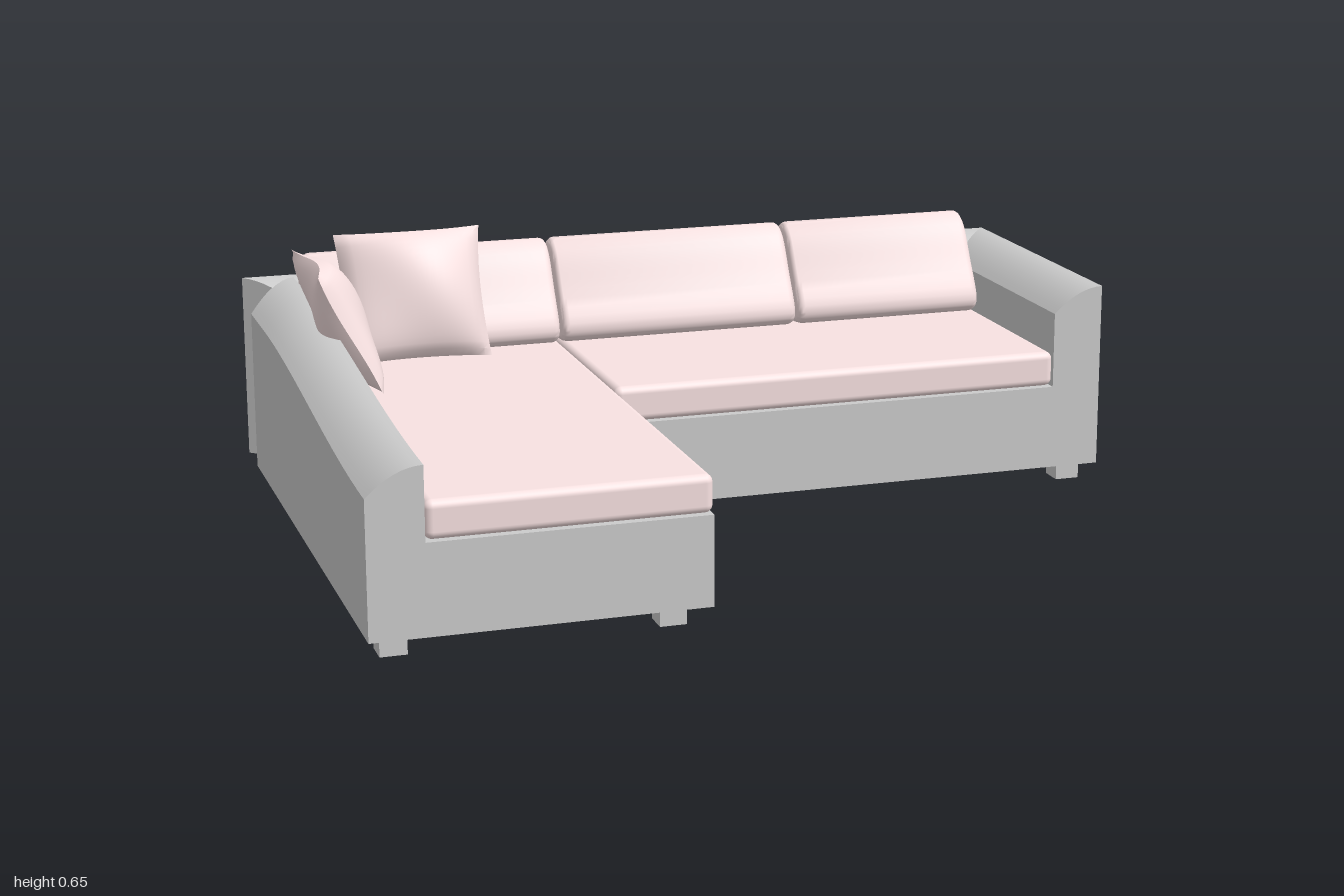
import * as THREE from 'three';
import { toCreasedNormals, mergeVertices } from 'three/addons/utils/BufferGeometryUtils.js';
import { RoundedBoxGeometry } from 'three/addons/geometries/RoundedBoxGeometry.js';

const FLOOR = 0.047; // underside of the frame
const grey = new THREE.MeshStandardMaterial({ color: 0xcccccc });
const pink = new THREE.MeshStandardMaterial({ color: 0xf8e2e2 });

function add(group, name, geometry, material, x = 0, y = 0, z = 0) {
  const mesh = new THREE.Mesh(geometry, material);
  mesh.name = name;
  mesh.position.set(x, y, z);
  group.add(mesh);
  return mesh;
}

// Closed solid through a row of convex cross-sections, capped at both ends
function loft(sections) {
  const tris = [];
  const n = sections[0].length;
  for (let i = 0; i + 1 < sections.length; i++) {
    for (let j = 0; j < n; j++) {
      const k = (j + 1) % n;
      const [a, b, c, d] = [sections[i][j], sections[i + 1][j], sections[i + 1][k], sections[i][k]];
      tris.push([a, b, c], [a, c, d]);
    }
  }
  const last = sections[sections.length - 1];
  for (let j = 1; j + 1 < n; j++) {
    tris.push([sections[0][0], sections[0][j], sections[0][j + 1]]);
    tris.push([last[0], last[j + 1], last[j]]);
  }
  // Turn the faces outward if the sections ran the other way
  const cross = new THREE.Vector3();
  let volume = 0;
  for (const [a, b, c] of tris) volume += a.dot(cross.crossVectors(b, c));
  if (volume < 0) tris.forEach((t) => t.reverse());
  const geometry = new THREE.BufferGeometry().setFromPoints(tris.flat());
  return toCreasedNormals(geometry, 0.5);
}

// Wall section: the top curves down from its high edge to its low edge
function wallSection(hi, lo, height) {
  const points = [];
  for (let i = 0; i <= 8; i++) {
    const t = i / 8;
    points.push(new THREE.Vector3(
      THREE.MathUtils.lerp(hi[0], lo[0], t),
      height - 0.062 * t * t,
      THREE.MathUtils.lerp(hi[1], lo[1], t)));
  }
  points.push(new THREE.Vector3(lo[0], FLOOR, lo[1]), new THREE.Vector3(hi[0], FLOOR, hi[1]));
  return points;
}

// Leaning back cushion with a soft profile, extruded sideways
function backCushion(width) {
  const outline = [[0.458, 0.375], [0.475, 0.345], [0.6, 0.345], [0.665, 0.44], [0.683, 0.5],
    [0.665, 0.55], [0.61, 0.583], [0.565, 0.565], [0.508, 0.475]];
  const curve = new THREE.CatmullRomCurve3(outline.map(([a, b]) => new THREE.Vector3(a, b, 0)), true);
  const shape = new THREE.Shape(curve.getPoints(48).slice(0, -1).map((p) => new THREE.Vector2(p.x, p.y)));
  const bevel = 0.018;
  const geometry = new THREE.ExtrudeGeometry(shape, {
    depth: width - 2 * bevel, bevelSize: bevel, bevelThickness: bevel, bevelOffset: -bevel, bevelSegments: 4,
  });
  geometry.translate(0, 0, bevel).rotateY(Math.PI / 2);
  return toCreasedNormals(geometry, 0.7);
}

// Throw pillow: plump in the middle, thin at the seam, pointed at the corners
function pillow(width, height, thickness, bend) {
  const geometry = new THREE.BoxGeometry(2, 2, 2, 20, 20, 1);
  const p = geometry.attributes.position;
  for (let i = 0; i < p.count; i++) {
    const u = p.getX(i), v = p.getY(i), side = p.getZ(i);
    const puff = Math.pow(Math.max(0, (1 - u * u) * (1 - v * v)), 0.5);
    p.setXYZ(i,
      width / 2 * u * (1 - 0.06 * (1 - v * v)),
      height / 2 * v * (1 - 0.05 * (1 - u * u)),
      side * thickness / 2 * puff + bend * u * u + 0.008 * Math.sin(3 * u + 2 * v));
  }
  geometry.deleteAttribute('uv');
  geometry.deleteAttribute('normal');
  return toCreasedNormals(mergeVertices(geometry, 1e-4), 0.9);
}

export function createModel() {
  const sofa = new THREE.Group();
  sofa.name = 'cornerSofa';

  // Back wall and right arm, mitred together
  add(sofa, 'backWall', loft([
    wallSection([-1, -0.75], [-0.875, -0.625], 0.5),
    wallSection([1, -0.75], [0.875, -0.625], 0.5),
  ]), grey);
  add(sofa, 'shortArm', loft([
    wallSection([1, -0.75], [0.875, -0.625], 0.5),
    wallSection([1, 0], [0.875, 0], 0.5),
  ]), grey);

  // Long arm, sweeping down towards the front
  const sections = [];
  for (let i = 0; i <= 24; i++) {
    const t = i / 24;
    const zHi = THREE.MathUtils.lerp(0.75, -0.75, t);
    const zLo = THREE.MathUtils.lerp(0.75, -0.625, t);
    const height = 0.42 + 0.078 * THREE.MathUtils.smoothstep(0.75 - zHi, 0, 1.3);
    sections.push(wallSection([-0.875, zHi], [-1, zLo], height));
  }
  add(sofa, 'longArm', loft(sections), grey);

  // Seat bases and seat cushions: x from, x to, front z
  for (const [name, x0, x1, front] of [['chaise', -0.875, -0.25, 0.75], ['seat', -0.25, 0.875, 0]]) {
    const w = x1 - x0, d = front + 0.63;
    const x = (x0 + x1) / 2, z = (front - 0.63) / 2;
    add(sofa, name + 'Base', new THREE.BoxGeometry(w, 0.206, d), grey, x, FLOOR + 0.103, z);
    add(sofa, name + 'Cushion', new RoundedBoxGeometry(w, 0.086, d, 4, 0.018), pink, x, 0.298, z);
  }

  // Back cushions
  for (const [x0, x1] of [[-0.873, -0.256], [-0.25, 0.367], [0.373, 0.87]]) {
    add(sofa, 'backCushion', backCushion(x1 - x0), pink, x0);
  }

  // Throw pillows in the corner
  const rear = add(sofa, 'rearPillow', pillow(0.36, 0.325, 0.13, -0.02), pink, -0.63, 0.498, -0.445);
  rear.rotation.set(-0.33, -0.05, 0);
  const side = add(sofa, 'sidePillow', pillow(0.34, 0.32, 0.12, -0.01), pink, -0.845, 0.492, -0.268);
  side.rotation.set(-0.42, Math.PI / 2, 0, 'YXZ');

  // Feet
  for (const [x, z] of [[-0.94, 0.68], [-0.33, 0.68], [-0.26, -0.07], [0.94, -0.07], [0.94, -0.69], [-0.94, -0.69]]) {
    add(sofa, 'foot', new THREE.BoxGeometry(0.06, FLOOR, 0.06), grey, x, FLOOR / 2, z);
  }
  return sofa;
}
